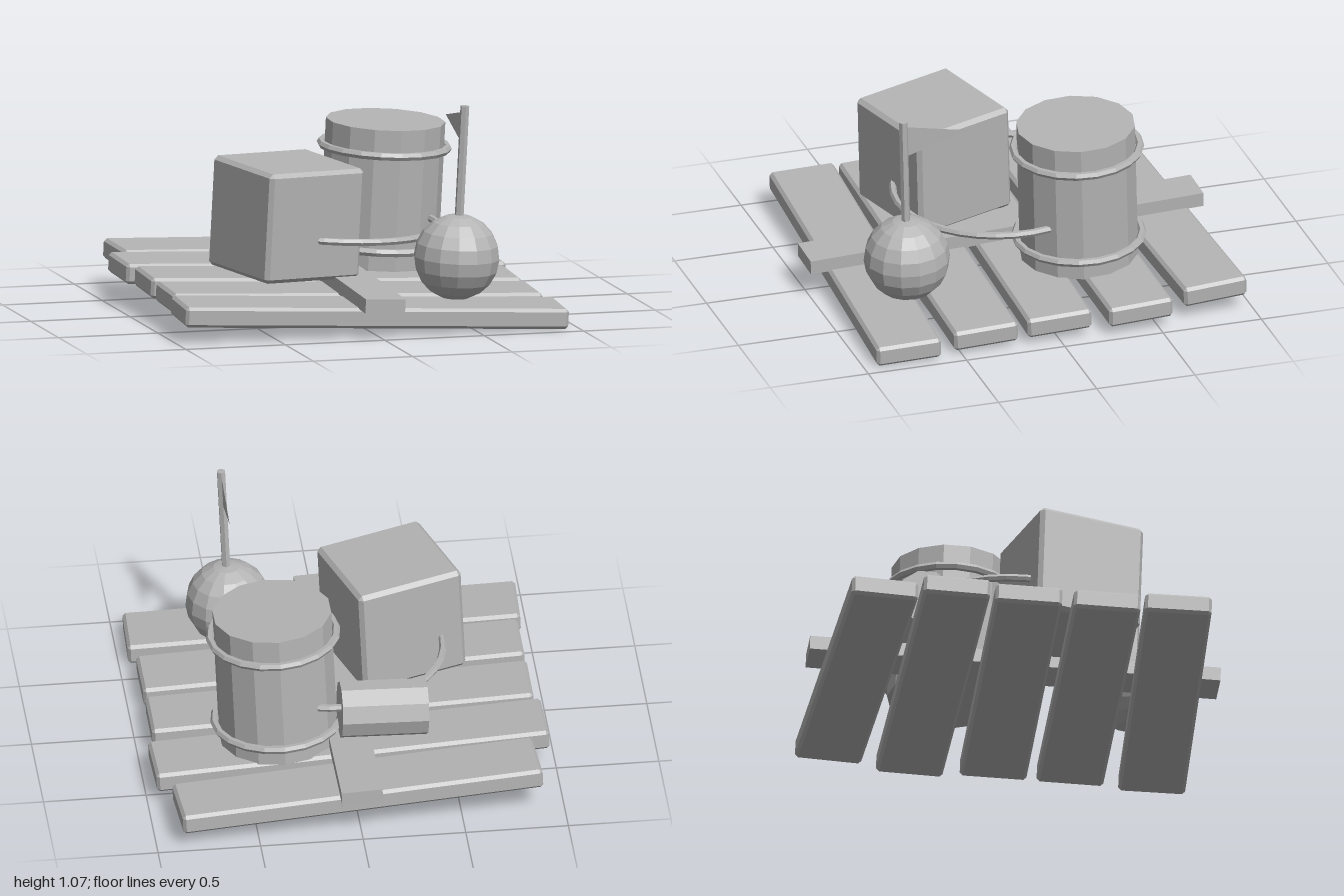
import * as THREE from 'three';
import { ConvexGeometry } from 'three/addons/geometries/ConvexGeometry.js';

// Box with a small flat chamfer on every edge
function chamferBox(w, h, d, c) {
  const pts = [];
  for (const x of [-1, 1]) for (const y of [-1, 1]) for (const z of [-1, 1]) {
    const X = x * w / 2, Y = y * h / 2, Z = z * d / 2;
    pts.push(
      new THREE.Vector3(X, Y - y * c, Z - z * c),
      new THREE.Vector3(X - x * c, Y, Z - z * c),
      new THREE.Vector3(X - x * c, Y - y * c, Z));
  }
  return new ConvexGeometry(pts);
}

export function createModel() {
  const model = new THREE.Group();
  model.name = 'raft';
  const grey = new THREE.MeshStandardMaterial({ color: 0xb4b4b4, flatShading: true });
  grey.name = 'grey';
  const greySheet = grey.clone();
  greySheet.side = THREE.DoubleSide;
  greySheet.name = 'greySheet';

  // Everything rides on a deck that lists slightly
  const deck = new THREE.Group();
  deck.name = 'deck';
  deck.position.y = 0.13;
  deck.rotation.set(0.0375, 0, -0.042);
  model.add(deck);

  function add(name, geometry, x, y, z, material = grey) {
    const mesh = new THREE.Mesh(geometry, material);
    mesh.name = name;
    mesh.position.set(x, y, z);
    deck.add(mesh);
    return mesh;
  }

  // Planks: centre z, length, turn
  [
    [-0.76, 1.77, 0.054],
    [-0.387, 1.92, 0.018],
    [-0.008, 1.86, -0.01],
    [0.37, 1.86, -0.006],
    [0.742, 1.91, -0.036],
  ].forEach(([z, length, turn], i) => {
    add('plank' + (i + 1), chamferBox(length, 0.1, 0.325, 0.015), -0.002, 0, z).rotation.y = turn;
  });

  // Cross beam over the planks
  add('crossBeam', new THREE.BoxGeometry(0.2, 0.07, 2), 0, 0.08, 0);

  // Crate
  add('crate', chamferBox(0.54, 0.54, 0.54, 0.02), -0.3, 0.373, 0.236).rotation.y = 0.29;

  // Barrel with two hoops
  add('barrel', new THREE.CylinderGeometry(0.29, 0.29, 0.7, 14), 0.328, 0.395, -0.29);
  for (const y of [0.145, 0.62]) {
    add('barrelHoop', new THREE.TorusGeometry(0.308, 0.02, 6, 20), 0.328, y, -0.292).rotation.x = Math.PI / 2;
  }

  // Rope ring lashing the cargo
  add('rope', new THREE.TorusGeometry(0.52, 0.018, 6, 36), 0.002, 0.3, 0).rotation.x = Math.PI / 2;

  // Short log lying at the back
  add('log', new THREE.CylinderGeometry(0.14, 0.14, 0.42, 10), -0.17, 0.245, -0.469).rotation.z = Math.PI / 2 + 0.07;

  // Buoy with mast and pennant
  add('buoy', new THREE.SphereGeometry(0.21, 14, 10), 0.455, 0.249, 0.623);
  add('mast', new THREE.CylinderGeometry(0.022, 0.022, 0.7, 6), 0.457, 0.644, 0.624);
  const pennant = new THREE.Shape([
    new THREE.Vector2(0, 0.082), new THREE.Vector2(0, -0.082), new THREE.Vector2(0.315, 0.006),
  ]);
  add('pennant', new THREE.ShapeGeometry(pennant), 0.457, 0.882, 0.617, greySheet).rotation.y = Math.PI / 2;

  return model;
}
